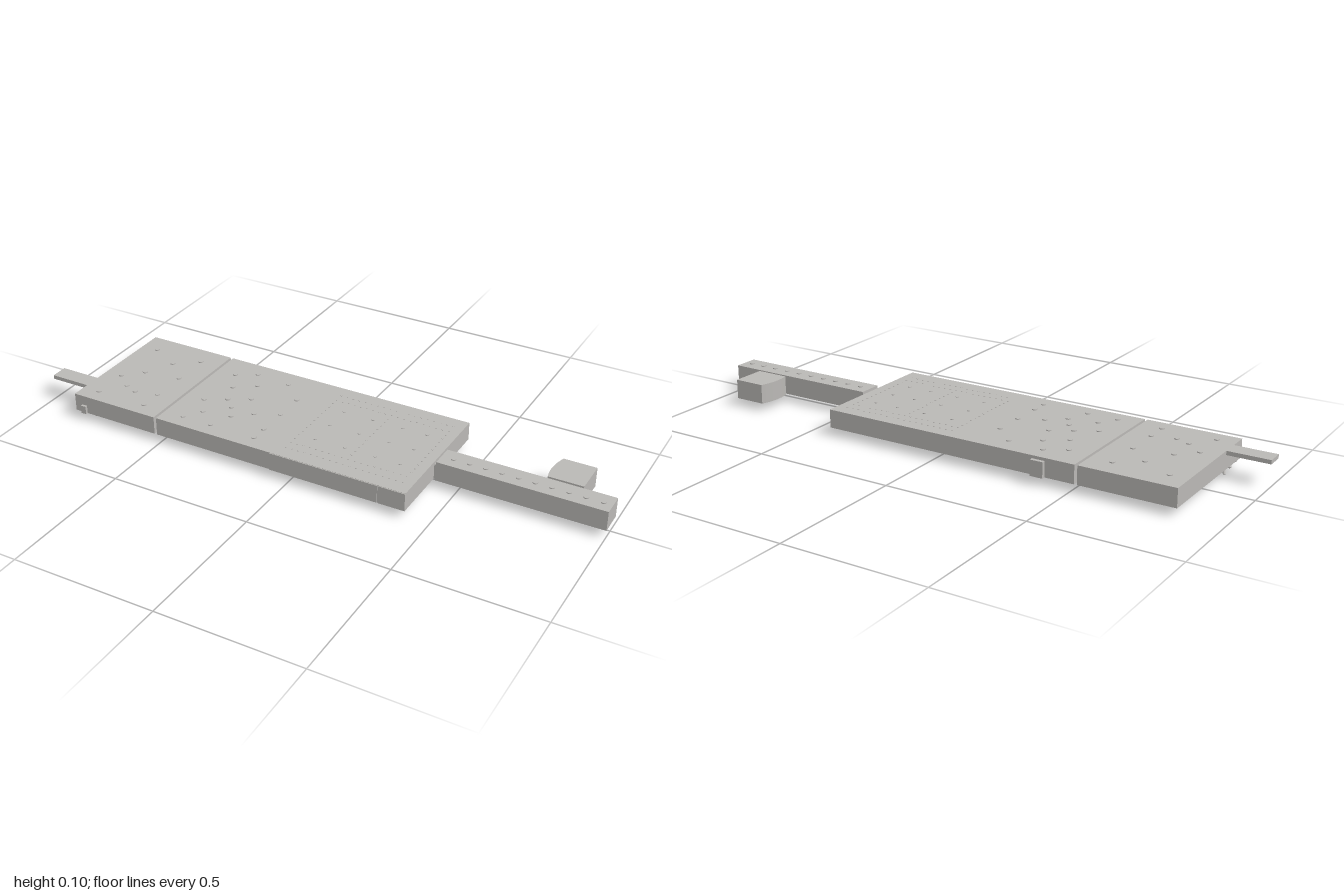
import * as THREE from 'three';

export function createModel() {
  const model = new THREE.Group();
  const grey = new THREE.MeshStandardMaterial({ color: 0xbab8b5 });
  grey.name = 'warm grey';

  const add = (name, geometry) => {
    const mesh = new THREE.Mesh(geometry, grey);
    mesh.name = name;
    model.add(mesh);
    return mesh;
  };
  // Box given by its lower and upper limits on each axis
  const box = (name, x0, x1, y0, y1, z0, z1) => {
    const mesh = add(name, new THREE.BoxGeometry(x1 - x0, y1 - y0, z1 - z0));
    mesh.position.set((x0 + x1) / 2, (y0 + y1) / 2, (z0 + z1) / 2);
    return mesh;
  };

  const base = 0.029, deck = 0.093, armTop = 0.098;

  // Two deck slabs separated by a narrow gap, joined by recessed links
  box('endSlab', -0.853, -0.523, base, deck, -0.239, 0.244);
  box('mainSlab', -0.513, 0.419, base, deck, -0.239, 0.244);
  for (const z of [-0.2, 0.2]) box('slabLink', -0.523, -0.513, 0.04, 0.083, z - 0.02, z + 0.02);

  // Shallow side panels, rear bracket and front latch
  box('frontPanel', -0.07, 0.322, base, deck - 0.001, 0.244, 0.247);
  box('frontEndPanel', 0.326, 0.419, base, deck - 0.001, 0.244, 0.247);
  box('rearBracket', -0.41, -0.365, base, 0.083, -0.252, -0.239);
  box('frontLatch', -0.825, -0.805, base, 0.058, 0.244, 0.253);

  // Narrow tongue on one end, long arm on the other
  box('tongue', -1, -0.853, 0.079, deck, 0.116, 0.176);
  box('armJoint', 0.419, 0.43, base, 0.083, -0.04, 0.035);
  box('arm', 0.428, 1, base, armTop, -0.044, 0.042);
  box('blockJoint', 0.8, 0.857, base, 0.084, -0.055, -0.044);

  // Side block with one bowed edge
  const outline = new THREE.Shape();
  outline.moveTo(0.768, 0.053);
  outline.lineTo(0.888, 0.053);
  outline.lineTo(0.888, 0.175);
  outline.lineTo(0.775, 0.175);
  outline.quadraticCurveTo(0.752, 0.114, 0.768, 0.053);
  const block = add('sideBlock', new THREE.ExtrudeGeometry(outline, {
    depth: armTop - base, bevelEnabled: false, curveSegments: 8,
  }));
  block.rotation.x = -Math.PI / 2;
  block.position.y = base;

  // Raised studs on the slabs and along the arm
  const studGeometry = new THREE.CylinderGeometry(0.009, 0.009, 0.004, 12);
  const stud = (x, y, z) => add('stud', studGeometry).position.set(x, y + 0.0015, z);
  const columns = [
    [-0.79, -0.16, 0.06, 0.19], [-0.73, 0, 0.11], [-0.68, -0.1, 0.13],
    [-0.6, -0.16, -0.02, 0.11, 0.19], [-0.44, -0.14, 0.06, 0.19],
    [-0.4, -0.06, 0.13], [-0.37, -0.18, 0.02], [-0.33, -0.11, 0.06, 0.19],
    [-0.3, -0.02, 0.11], [-0.24, -0.17, 0.06], [-0.16, -0.09, 0.02, 0.13, 0.19],
  ];
  for (const [x, ...zs] of columns) for (const z of zs) stud(x, deck, z);
  for (let i = 0; i < 10; i++) stud(0.47 + i * 0.0555, armTop, 0);

  // Dotted pin frame and smaller studs on the main slab
  const pinGeometry = new THREE.CylinderGeometry(0.003, 0.003, 0.002, 6);
  const pin = (x, z) => add('pin', pinGeometry).position.set(x, deck + 0.0005, z);
  for (let i = 0; i <= 18; i++) {
    for (const z of [-0.19, -0.155, 0.155, 0.19]) pin(-0.04 + i * 0.0235, z);
  }
  for (let i = 1; i < 12; i++) {
    for (const x of [-0.04, 0.17, 0.383]) pin(x, -0.155 + i * 0.0258);
  }
  const smallStud = new THREE.CylinderGeometry(0.006, 0.006, 0.003, 10);
  for (const x of [0.02, 0.13, 0.24, 0.33]) {
    for (const z of [-0.1, 0, 0.1]) add('smallStud', smallStud).position.set(x, deck + 0.001, z);
  }

  // Two rows of tilted pegs beneath the front corner, growing longer inward
  for (const x of [-0.84, -0.78]) {
    for (let i = 0; i < 6; i++) {
      const length = 0.014 + i * 0.0035;
      const peg = add('underPeg', new THREE.CylinderGeometry(0.007, 0.005, length, 8));
      peg.position.set(x + (i % 2) * 0.01, base - length * 0.36, 0.227 - i * 0.0215);
      peg.rotation.set(0.5, 0, i % 2 ? 0.3 : -0.3);
    }
  }

  return model;
}
